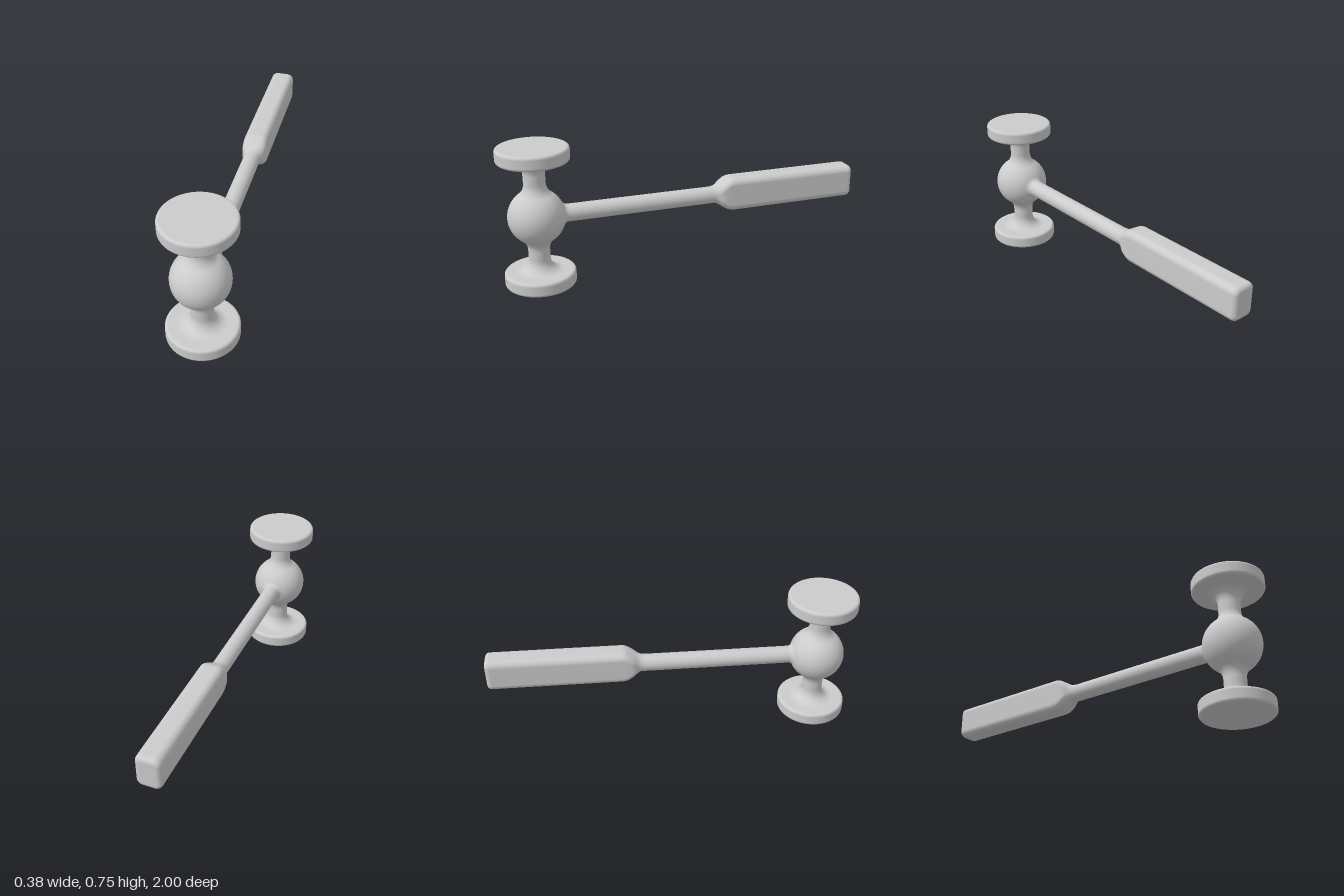
import * as THREE from 'three';

const HEAD_Z = 0.8125, MID_Y = 0.3775;
const material = new THREE.MeshStandardMaterial({ color: 0xcccccc, side: THREE.DoubleSide });

// Points on a circular arc, angles in degrees
function arc(cx, cy, r, from, to, steps) {
  return Array.from({ length: steps + 1 }, (_, i) => {
    const a = THREE.MathUtils.degToRad(from + (to - from) * i / steps);
    return new THREE.Vector2(cx + r * Math.cos(a), cy + r * Math.sin(a));
  });
}

function addMesh(group, name, geometry) {
  const mesh = new THREE.Mesh(geometry, material);
  mesh.name = name;
  group.add(mesh);
  return mesh;
}

// Turned head: striking disc, flared neck and ball, mirrored about the middle
function headGeometry() {
  const lower = [
    new THREE.Vector2(0, 0), new THREE.Vector2(0.17, 0),
    ...arc(0.173, 0.015, 0.015, -90, 0, 6),
    new THREE.Vector2(0.188, 0.018), new THREE.Vector2(0.188, 0.057),
    ...arc(0.173, 0.06, 0.015, 0, 90, 6),
    new THREE.Vector2(0.17, 0.075), new THREE.Vector2(0.129, 0.075),
    ...arc(0.125, 0.143, 0.068, -90, -180, 14),
    new THREE.Vector2(0.057, 0.147), new THREE.Vector2(0.057, 0.192),
    ...arc(0.132, 0.1955, 0.075, 180, 126, 10),
    ...arc(0, MID_Y, 0.15, -54, 0, 20).slice(1),
  ];
  const upper = lower.slice(0, -1).reverse().map(p => new THREE.Vector2(p.x, 2 * MID_Y - p.y));
  return new THREE.LatheGeometry([...lower, ...upper], 72);
}

// Rounded rectangle, counter-clockwise seen from +z
function roundedSection(z, hw, hh, r) {
  const points = [];
  for (let q = 0; q < 4; q++) {
    const sx = q === 0 || q === 3 ? 1 : -1, sy = q < 2 ? 1 : -1;
    for (const p of arc(sx * (hw - r), sy * (hh - r), r, q * 90, q * 90 + 90, 8)) points.push([p.x, p.y, z]);
  }
  return points;
}

// Grip: lofted from the round shaft to a rounded bar with a softened end
function gripGeometry() {
  const sections = [
    [-0.15, 0.047, 0.047, 0.046], [-0.165, 0.048, 0.048, 0.046], [-0.18, 0.052, 0.052, 0.045],
    [-0.195, 0.06, 0.06, 0.043], [-0.21, 0.066, 0.069, 0.04], [-0.235, 0.067, 0.084, 0.037],
    [-0.25, 0.067, 0.09, 0.036], [-0.265, 0.067, 0.0925, 0.036], [-0.28, 0.067, 0.0925, 0.036],
    [-0.97, 0.067, 0.0925, 0.036],
  ];
  const e = 0.025;
  for (const p of arc(0, 0, e, 0, 90, 6)) {
    const inset = e - p.x;
    sections.push([-1 + e - p.y, 0.067 - inset, 0.0925 - inset, 0.036 - inset]);
  }
  sections.push([-1, 0.039, 0.0645, 0.009]);
  const rings = sections.map(s => roundedSection(...s));
  const n = rings[0].length, last = (rings.length - 1) * n, centre = rings.length * n;
  const index = [];
  for (let i = 0; i < rings.length - 1; i++) {
    for (let j = 0; j < n; j++) {
      const k = (j + 1) % n;
      const a = i * n + j, b = i * n + k, c = a + n, d = b + n;
      index.push(a, c, b, b, c, d);
    }
  }
  for (let j = 0; j < n; j++) index.push(last + j, centre, last + (j + 1) % n);
  const geometry = new THREE.BufferGeometry();
  geometry.setAttribute('position', new THREE.Float32BufferAttribute([...rings.flat(2), 0, 0, -1], 3));
  geometry.setIndex(index);
  geometry.computeVertexNormals();
  return geometry;
}

export function createModel() {
  const group = new THREE.Group();
  group.name = 'mallet';

  addMesh(group, 'head', headGeometry()).position.z = HEAD_Z;

  // Shaft with a small fillet where it meets the ball
  const shaftProfile = [
    ...arc(0.077, 0.1627, 0.03, -115.3, -180, 8),
    new THREE.Vector2(0.047, 0.168), new THREE.Vector2(0.047, HEAD_Z + 0.152),
  ];
  const shaft = addMesh(group, 'shaft', new THREE.LatheGeometry(shaftProfile, 48).rotateX(-Math.PI / 2));
  shaft.position.set(0, MID_Y, HEAD_Z);

  addMesh(group, 'grip', gripGeometry()).position.y = MID_Y + 0.002;
  return group;
}
